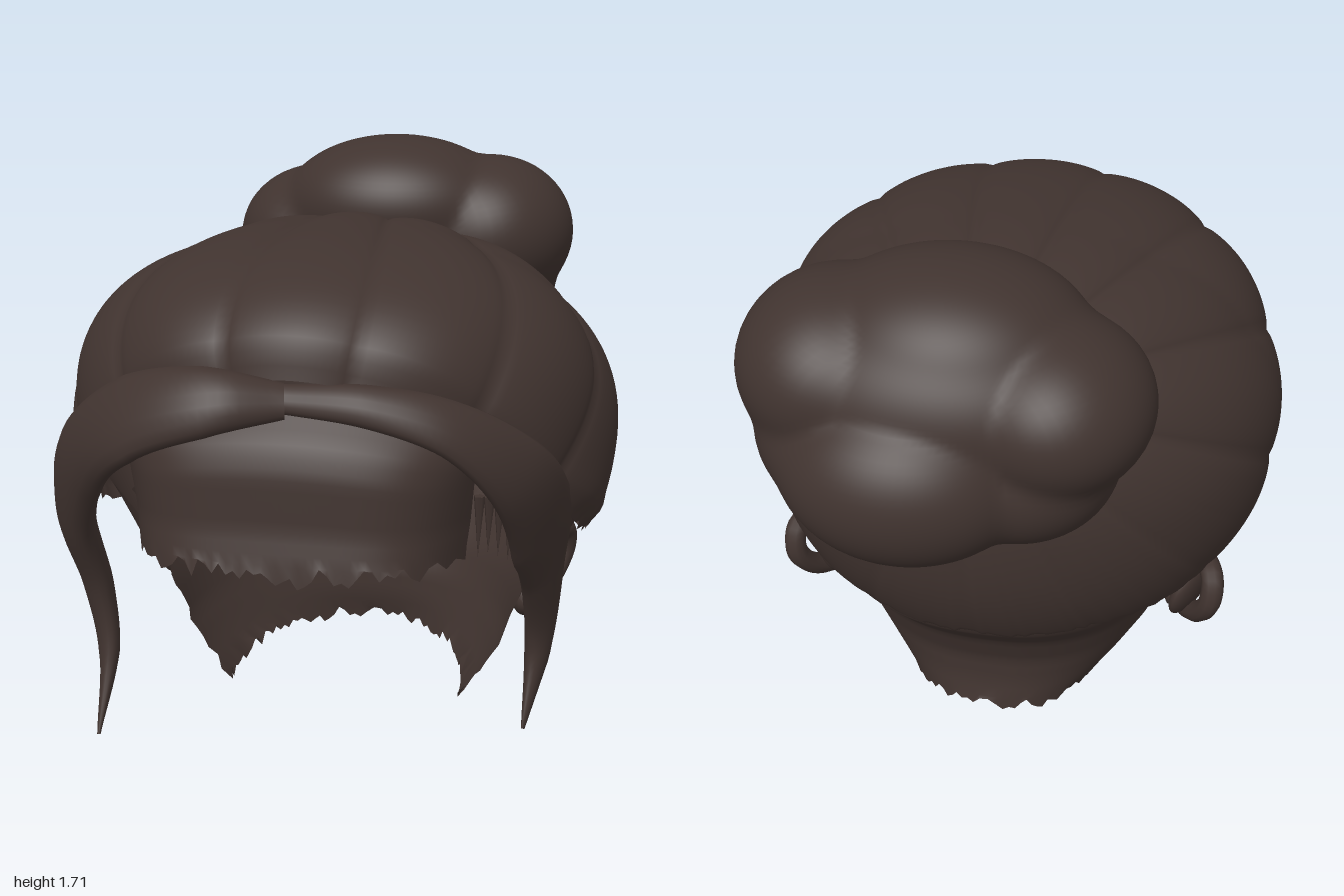
import * as THREE from 'three';

const hair = new THREE.MeshStandardMaterial({ color: 0x40332f, side: THREE.DoubleSide });
const V = (x, y, z) => new THREE.Vector3(x, y, z);
const C = V(0, 0.9, 0.08); // middle of the head
const jag = (i) => { const s = Math.sin(i * 12.9898) * 43758.5453; return s - Math.floor(s); };

// Smooth sheet of nu x nv cells from a function of u, v in 0..1; wrap joins the u ends
function sheet(name, nu, nv, fn, wrap = false) {
  const pos = [], idx = [], cols = wrap ? nu : nu + 1;
  for (let j = 0; j <= nv; j++)
    for (let i = 0; i < cols; i++) pos.push(...fn(i / nu, j / nv, i, j).toArray());
  for (let j = 0; j < nv; j++)
    for (let i = 0; i < nu; i++) {
      const a = j * cols + i, b = j * cols + (i + 1) % cols;
      idx.push(a, a + cols, b, b, a + cols, b + cols);
    }
  const g = new THREE.BufferGeometry();
  g.setAttribute('position', new THREE.Float32BufferAttribute(pos, 3));
  g.setIndex(idx);
  g.computeVertexNormals();
  const m = new THREE.Mesh(g, hair);
  m.name = name;
  return m;
}

// Linear lookup in a table of [key, value, value...] rows
function lookup(rows, k, col = 1) {
  let i = 0;
  while (i < rows.length - 2 && k > rows[i + 1][0]) i++;
  const t = THREE.MathUtils.clamp((k - rows[i][0]) / (rows[i + 1][0] - rows[i][0]), 0, 1);
  return THREE.MathUtils.lerp(rows[i][col], rows[i + 1][col], t);
}

// Distance from the head's middle to the hair along d: rounder from above than from the side
function headRadius(d) {
  const q = 2.1 + 1.2 * Math.max(0, d.z);
  const p = d.z > 0 ? 2 : 1.9;
  const plan = (Math.abs(d.x / 0.82) ** p + Math.abs(d.z / (d.z > 0 ? 0.82 : 0.78)) ** p) ** (1 / p);
  return (plan ** q + Math.abs(d.y / (d.y > 0 ? 0.62 : 0.75)) ** q) ** (-1 / q);
}

// Combed-back hair: locks radiate from the bun down to the hairline
function makeCap() {
  const A = V(0, 0.55, -0.835), B = V(0, 0.835, 0.55);
  const hairline = [[0, 124], [35, 124], [68, 125], [82, 119], [96, 110], [110, 99], [132, 83], [155, 70], [180, 65]];
  return sheet('combedHair', 208, 48, (u, v, i) => {
    const phi = u * Math.PI * 2;
    const deg = Math.abs(((u * 360 + 180) % 360) - 180);
    const ragged = deg > 85 ? 3 * jag(i) : 0;
    const th = THREE.MathUtils.degToRad(lookup(hairline, deg) + ragged) * (0.02 + 0.98 * v);
    const d = A.clone().multiplyScalar(Math.cos(th))
      .addScaledVector(B, Math.sin(th) * Math.cos(phi));
    d.x += Math.sin(th) * Math.sin(phi);
    d.normalize();
    const lock = Math.abs(Math.cos(phi * 6.5)) ** 0.6 - 0.7;
    const depth = 0.035 * (1 - 0.7 * THREE.MathUtils.smoothstep(deg, 80, 130));
    const edge = 1 - 0.03 * THREE.MathUtils.smoothstep(v, 0.94, 1);
    const r = headRadius(d) * (1 + depth * lock * Math.sin(Math.PI * Math.min(v, 0.75))) * edge;
    return d.multiplyScalar(r).add(C);
  }, true);
}

// Bun: one skin wrapped around several overlapping lobes
function makeBun() {
  const O = V(0.07, 1.35, -0.58);
  const lobes = [
    [V(0.06, 1.49, -0.5), V(0.38, 0.225, 0.3)],
    [V(0.37, 1.4, -0.54), V(0.275, 0.25, 0.3)],
    [V(-0.23, 1.37, -0.59), V(0.265, 0.23, 0.29)],
    [V(0.15, 1.2, -0.735), V(0.34, 0.25, 0.26)],
    [V(-0.13, 1.2, -0.6), V(0.28, 0.23, 0.27)],
    [V(0.34, 1.23, -0.6), V(0.25, 0.22, 0.26)],
    [V(0.08, 1.35, -0.55), V(0.5, 0.3, 0.33)],
  ];
  const reach = (d) => {
    let sum = 0;
    for (const [c, r] of lobes) {
      const o = O.clone().sub(c).divide(r), e = d.clone().divide(r);
      const a = e.dot(e), b = o.dot(e), q = b * b - a * (o.dot(o) - 1);
      if (q > 0) sum += Math.max(0, (-b + Math.sqrt(q)) / a) ** 34;
    }
    return sum ** (1 / 34);
  };
  return sheet('bun', 96, 64, (u, v) => {
    const d = new THREE.Vector3().setFromSphericalCoords(1, 0.001 + v * (Math.PI - 0.002), u * Math.PI * 2);
    return d.multiplyScalar(reach(d) * 0.99).add(O);
  }, true);
}

// Loose lock: lens section swept along a path, lying flat against the head
function makeLock(name, pts, widths, thick) {
  const path = new THREE.CatmullRomCurve3(pts);
  const rows = widths.map((w, i) => [i / (widths.length - 1), w]);
  return sheet(name, 16, 64, (u, v) => {
    const p = path.getPoint(v), t = path.getTangent(v);
    const out = p.clone().sub(C);
    out.y = out.y * 0.4 + 0.55 * (1 - THREE.MathUtils.smoothstep(v, 0.25, 0.5));
    out.addScaledVector(t, -out.dot(t)).normalize();
    const side = t.clone().cross(out);
    const w = lookup(rows, v), a = u * Math.PI * 2;
    return p.addScaledVector(side, w * Math.cos(a))
      .addScaledVector(out, Math.min(thick, w * 0.6) * Math.sin(a));
  }, true);
}

// Back of the neck, open to the front, with a ragged lower edge
function makeNeck() {
  const rows = [[0.03, 0.37, -0.43], [0.12, 0.44, -0.41], [0.22, 0.5, -0.41], [0.35, 0.54, -0.46],
    [0.5, 0.61, -0.59], [0.66, 0.67, -0.63]];
  return sheet('neck', 72, 20, (u, v, i, j) => {
    const a = (u - 0.5) * Math.PI * 1.06;
    const y = 0.03 + 0.63 * v;
    const x = lookup(rows, y, 1) * Math.sign(Math.sin(a)) * Math.abs(Math.sin(a)) ** 0.85;
    const z = 0.1 - (0.1 - lookup(rows, y, 2)) * Math.cos(a);
    const ragged = j === 0 ? 0.05 * (jag(i) - 0.5) : 0;
    const frontRag = i === 0 || i === 72 ? 0.05 * (jag(j) - 0.6) : 0;
    return V(x, y + ragged, z + frontRag);
  });
}

// Brow patch under the fringe, ragged below, bending back at the temples to the hairline
function makeBrow() {
  const rows = [[0, 0.74, 0.98, 0.45], [0.25, 0.85, 0.95, 0.46], [0.6, 1.0, 0.94, 0.47],
    [0.75, 1.07, 0.91, 0.49], [1, 1.19, 0.8, 0.55]];
  return sheet('brow', 48, 16, (u, v, i, j) => {
    const s = u * 2 - 1;
    const ragged = j === 0 ? 0.06 * (jag(i) - 0.5) : 0;
    const y = lookup(rows, v, 1) + ragged - 0.1 * s * s * v;
    return V(s * lookup(rows, v, 3), y, lookup(rows, v, 2) - (0.22 - 0.08 * v) * s ** 6 - 0.05 * s * s);
  });
}

// Ear: curled rim around a filled bowl, with a lobe
function makeEar() {
  const ear = new THREE.Group();
  ear.name = 'ear';
  const rim = new THREE.CatmullRomCurve3([V(0.57, 0.42, -0.01), V(0.62, 0.49, -0.08), V(0.67, 0.49, -0.2),
    V(0.67, 0.41, -0.23), V(0.63, 0.32, -0.18), V(0.58, 0.28, -0.09), V(0.55, 0.33, -0.03)]);
  const tube = new THREE.Mesh(new THREE.TubeGeometry(rim, 40, 0.035, 10), hair);
  tube.name = 'earRim';
  const bowl = new THREE.Mesh(new THREE.SphereGeometry(1, 24, 16), hair);
  bowl.name = 'earBowl';
  bowl.scale.set(0.04, 0.12, 0.12);
  bowl.position.set(0.61, 0.39, -0.12);
  bowl.rotation.set(0, 0.45, -0.25);
  const lobe = new THREE.Mesh(new THREE.SphereGeometry(1, 16, 12), hair);
  lobe.name = 'earLobe';
  lobe.scale.set(0.045, 0.06, 0.07);
  lobe.position.set(0.56, 0.3, -0.06);
  ear.add(tube, bowl, lobe);
  return ear;
}

// Sideburn sheet in front of the ear, rounded at the bottom, with fine wisps inside
function makeSideburn() {
  const g = new THREE.Group();
  g.name = 'sideburn';
  g.add(sheet('sideburnSheet', 16, 12, (u, v) => {
    const s = u * 2 - 1;
    const low = 0.43 + 0.12 * Math.abs(s) ** 3;
    return V(0.61 + 0.14 * v - 0.03 * s * s, low + (0.72 - low) * v, 0.12 + 0.12 * s);
  }));
  for (let i = 0; i < 4; i++) {
    const h = 0.15 + 0.08 * jag(i + 3);
    const wisp = new THREE.Mesh(new THREE.ConeGeometry(0.018, h, 5), hair);
    wisp.name = 'wisp';
    wisp.rotation.x = Math.PI;
    wisp.position.set(0.43 + 0.03 * i, 0.72 - h / 2, 0.2);
    g.add(wisp);
  }
  return g;
}

export function createModel() {
  const model = new THREE.Group();
  model.name = 'updoHair';
  model.add(makeCap(), makeBun(), makeNeck(), makeBrow());
  model.add(makeLock('rightFringe', [V(0, 1.17, 0.86), V(-0.2, 1.17, 0.91), V(-0.42, 1.1, 0.86),
    V(-0.59, 0.95, 0.75), V(-0.66, 0.75, 0.65), V(-0.64, 0.5, 0.56), V(-0.61, 0.3, 0.58), V(-0.6, 0.1, 0.72)],
  [0.05, 0.1, 0.13, 0.12, 0.09, 0.07, 0.05, 0.008], 0.05));
  model.add(makeLock('leftFringe', [V(-0.02, 1.17, 0.84), V(0.22, 1.16, 0.84), V(0.42, 1.1, 0.8),
    V(0.58, 0.95, 0.69), V(0.64, 0.75, 0.52), V(0.64, 0.57, 0.4), V(0.63, 0.33, 0.33), V(0.6, 0.1, 0.45)],
  [0.04, 0.06, 0.08, 0.11, 0.14, 0.1, 0.07, 0.008], 0.035));
  for (const s of [1, -1]) {
    const half = new THREE.Group();
    half.name = s > 0 ? 'leftSide' : 'rightSide';
    half.add(makeEar(), makeSideburn());
    half.scale.x = s;
    model.add(half);
  }
  return model;
}
